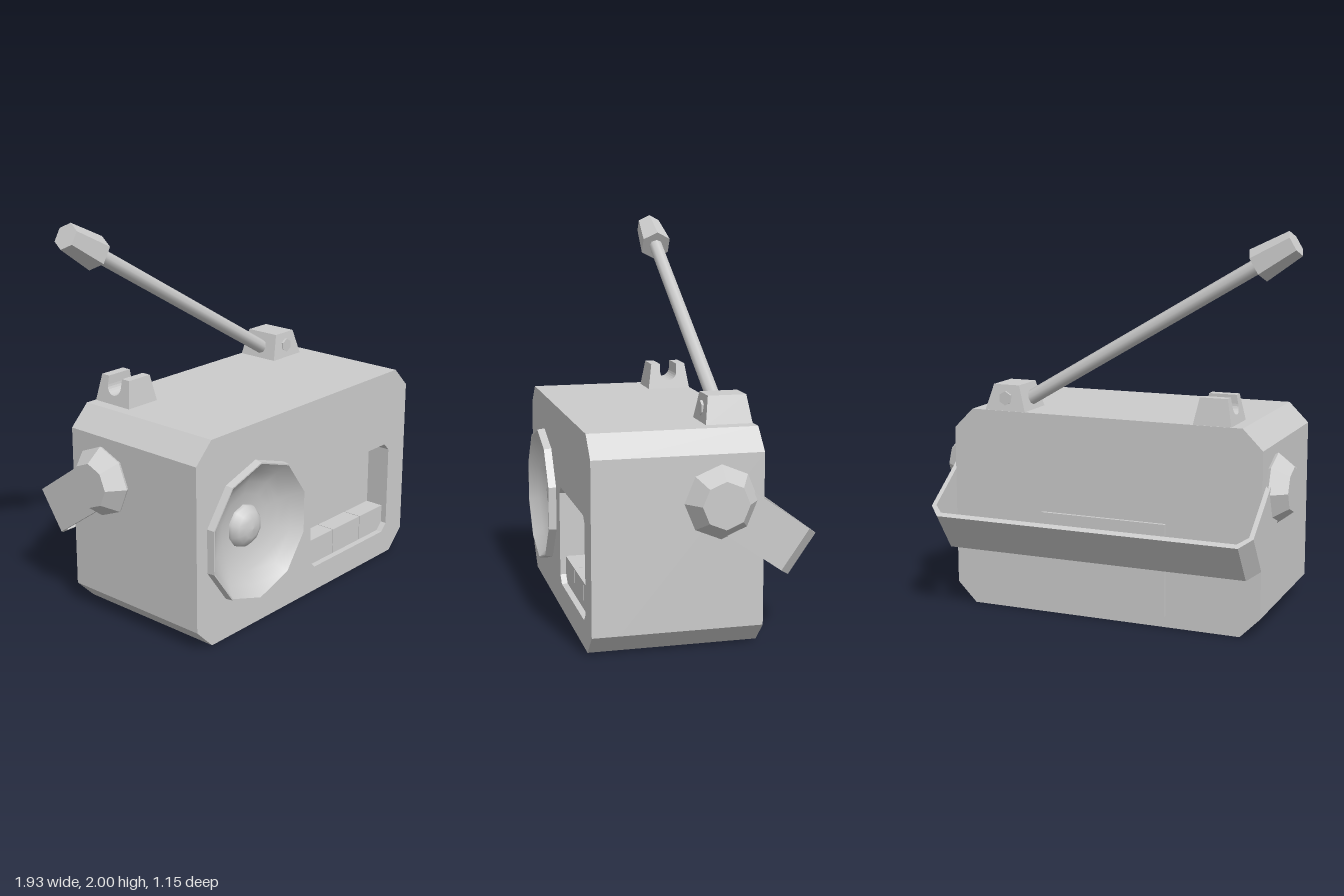
import * as THREE from 'three';

const flat = new THREE.MeshStandardMaterial({ color: 0xcccccc, flatShading: true });
const smooth = new THREE.MeshStandardMaterial({ color: 0xcccccc });
const CX = 0.02; // middle of the case

function add(parent, name, geometry, material = flat) {
  const mesh = new THREE.Mesh(geometry, material);
  mesh.name = name;
  parent.add(mesh);
  return mesh;
}

function polygon(points, Type = THREE.Shape) {
  return new Type(points.map(([x, y]) => new THREE.Vector2(x, y)));
}

// Corner points of a rectangle with cut corners
function chamferRect(x0, x1, y0, y1, c) {
  return [[x0 + c, y0], [x1 - c, y0], [x1, y0 + c], [x1, y1 - c],
    [x1 - c, y1], [x0 + c, y1], [x0, y1 - c], [x0, y0 + c]];
}

function extrude(shape, z0, z1) {
  const g = new THREE.ExtrudeGeometry(shape, { depth: z1 - z0, bevelEnabled: false, curveSegments: 6 });
  return g.translate(0, 0, z0);
}

// Lathe turned so that its axis points to the front
function latheZ(points, sides) {
  return new THREE.LatheGeometry(points.map(([r, z]) => new THREE.Vector2(r, z)), sides).rotateX(Math.PI / 2);
}

// Narrow a block in x and/or z from y0 up to y1
function taper(g, y0, y1, kx, kz) {
  const p = g.attributes.position;
  for (let i = 0; i < p.count; i++) {
    const t = (p.getY(i) - y0) / (y1 - y0);
    p.setX(i, p.getX(i) * (1 + (kx - 1) * t));
    p.setZ(i, p.getZ(i) * (1 + (kz - 1) * t));
  }
  g.computeVertexNormals();
  return g;
}

export function createModel() {
  const radio = new THREE.Group();
  radio.name = 'portableRadio';

  // Case: solid rear and a front plate with openings for speaker and panel
  const outline = chamferRect(-0.825, 0.865, 0, 1.055, 0.105);
  add(radio, 'caseBody', extrude(polygon(outline), -0.3, 0.405));
  const front = polygon(outline);
  const speakerX = -0.405, speakerY = 0.505;
  const ring = [];
  for (let i = 0; i < 10; i++) {
    const a = Math.PI / 2 + i * Math.PI / 5;
    ring.push([speakerX + 0.355 * Math.cos(a), speakerY + 0.355 * Math.sin(a)]);
  }
  front.holes.push(polygon(ring, THREE.Path));
  front.holes.push(polygon(chamferRect(0.04, 0.72, 0.135, 0.65, 0.04), THREE.Path));
  add(radio, 'caseFront', extrude(front, 0.405, 0.535));
  add(radio, 'backCover', new THREE.BoxGeometry(0.685, 0.48, 0.04).translate(0.0175, 0.3, -0.297));

  // Row of buttons, the outer corners cut like the recess
  const x = [0.04, 0.273, 0.51, 0.72], c = 0.04, g = 0.002;
  for (let i = 0; i < 3; i++) {
    const l = i === 0 ? c : 0, r = i === 2 ? c : 0;
    const a = x[i] + g, b = x[i + 1] - g;
    const pts = [[a + l, 0.137], [b - r, 0.137], [b, 0.137 + r], [b, 0.273], [a, 0.273], [a, 0.137 + l]];
    add(radio, 'button', extrude(polygon(pts.filter((p, k) => !(k === 2 && !r) && !(k === 5 && !l))), 0.4, 0.505));
  }

  // Speaker
  const speaker = new THREE.Group();
  speaker.name = 'speaker';
  speaker.position.set(speakerX, speakerY, 0);
  radio.add(speaker);
  add(speaker, 'speakerRim', latheZ([[0.365, 0.53], [0.36, 0.575], [0.353, 0.575]], 10));
  add(speaker, 'speakerCone', latheZ([[0.353, 0.575], [0.3, 0.525], [0.24, 0.49], [0.17, 0.465], [0.1, 0.455]], 10), smooth);
  add(speaker, 'speakerDome', latheZ([[0.11, 0.45], [0.108, 0.475], [0.085, 0.503], [0.05, 0.52], [0, 0.526]], 10), smooth);

  // Pivot knobs on both sides
  for (const side of [1, -1]) {
    const knob = new THREE.Group();
    knob.name = side > 0 ? 'leftKnob' : 'rightKnob';
    knob.position.set(CX + side * 0.845, 0.725, -0.085);
    knob.rotation.z = -side * Math.PI / 2;
    radio.add(knob);
    add(knob, 'knobBase', new THREE.CylinderGeometry(0.18, 0.17, 0.02, 8).translate(0, 0.005, 0));
    add(knob, 'knobCap', new THREE.CylinderGeometry(0.115, 0.18, 0.085, 8).translate(0, 0.0575, 0));
  }

  // Folding handle: U-shaped strip swung down behind the case
  const handle = add(radio, 'handle', extrude(polygon([
    [0.87, -0.09], [0.87, 0.44], [0.81, 0.506], [-0.81, 0.506], [-0.87, 0.44], [-0.87, -0.09],
    [-0.846, -0.09], [-0.846, 0.432], [-0.798, 0.48], [0.798, 0.48], [0.846, 0.432], [0.846, -0.09],
  ]), -0.12, 0.12));
  handle.position.set(CX, 0.725, -0.09);
  handle.rotation.x = THREE.MathUtils.degToRad(-125);

  // Aerial foot with its hexagonal pin
  const foot = add(radio, 'aerialFoot', taper(new THREE.BoxGeometry(0.23, 0.14, 0.235).translate(0, 1.12, 0), 1.05, 1.19, 0.63, 0.82));
  foot.position.set(0.57, 0, -0.18);
  const pin = add(radio, 'aerialPin', new THREE.CylinderGeometry(0.037, 0.037, 0.23, 6).rotateX(Math.PI / 2));
  pin.position.set(0.57, 1.12, -0.18);

  // Cradle with a round notch for the folded aerial
  const notch = new THREE.Shape();
  notch.moveTo(-0.117, 1.05);
  notch.lineTo(0.117, 1.05);
  notch.lineTo(0.095, 1.19);
  notch.lineTo(0.046, 1.19);
  notch.lineTo(0.046, 1.145);
  notch.absarc(0, 1.145, 0.046, 0, Math.PI, true);
  notch.lineTo(-0.046, 1.19);
  notch.lineTo(-0.095, 1.19);
  const cradle = add(radio, 'aerialCradle', taper(extrude(notch, -0.1, 0.1).rotateY(Math.PI / 2), 1.05, 1.19, 0.72, 1));
  cradle.position.set(-0.562, 0, -0.18);

  // Aerial rod and hexagonal tip
  const aerial = new THREE.Group();
  aerial.name = 'aerial';
  aerial.position.set(0.53, 1.083, -0.175);
  aerial.rotation.z = Math.atan2(1.277, 0.75);
  radio.add(aerial);
  add(aerial, 'aerialRod', new THREE.CylinderGeometry(0.038, 0.038, 1.5, 8).translate(0, 0.75, 0), smooth);
  add(aerial, 'aerialTip', new THREE.CylinderGeometry(0.068, 0.088, 0.215, 6).rotateY(Math.PI / 6).translate(0, 1.588, 0));

  return radio;
}
